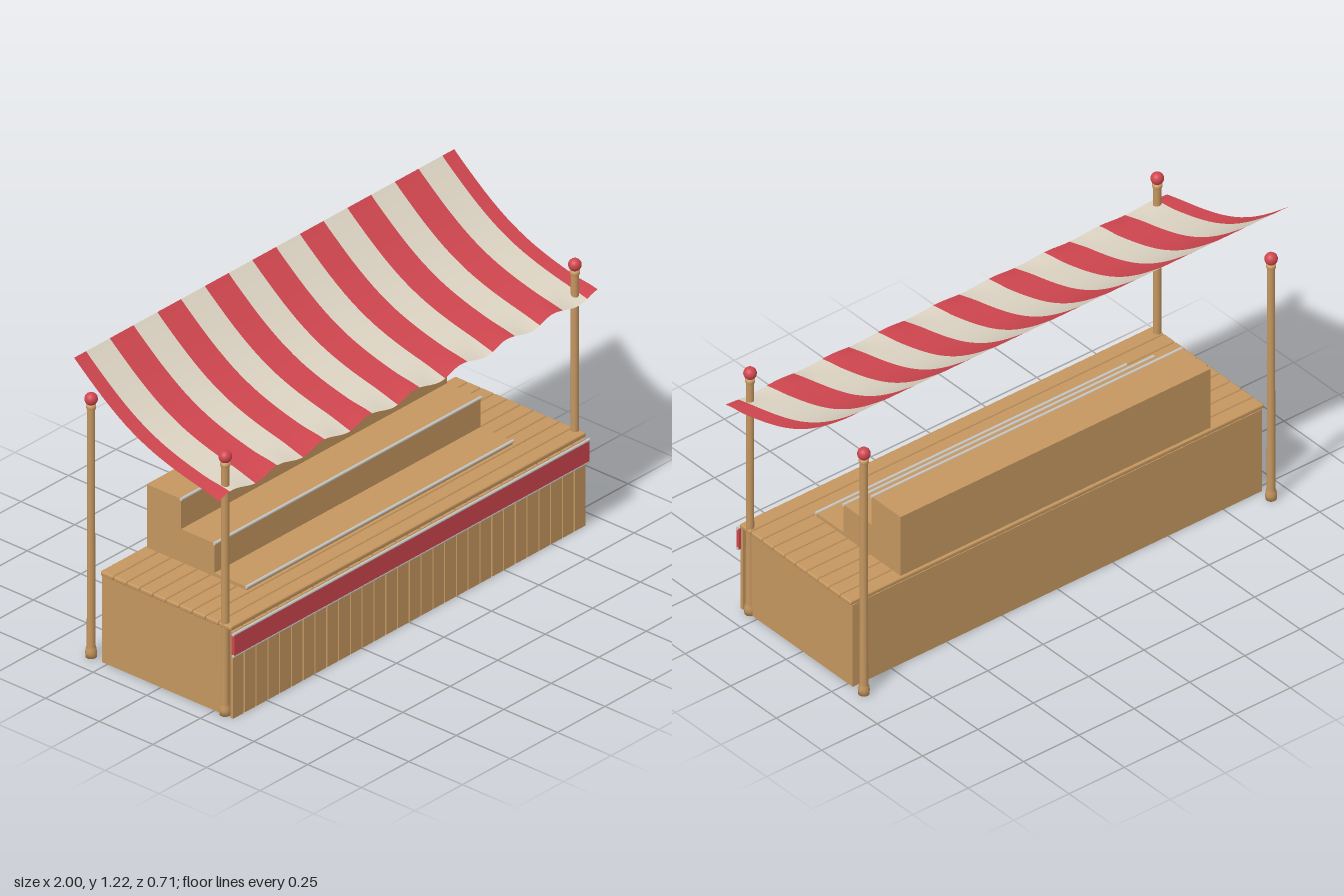
import * as THREE from 'three';
import { mergeGeometries } from 'three/addons/utils/BufferGeometryUtils.js';
import { RoundedBoxGeometry } from 'three/addons/geometries/RoundedBoxGeometry.js';

function material(name, color, side = THREE.FrontSide) {
  const m = new THREE.MeshStandardMaterial({ color, side });
  m.name = name;
  return m;
}

export function createModel() {
  const wood = material('wood', 0xc4965f);
  const red = material('red', 0xd0464f);
  const redCloth = material('red cloth', 0xd0464f, THREE.DoubleSide);
  const creamCloth = material('cream cloth', 0xddd4c3, THREE.DoubleSide);
  const trim = material('pale trim', 0xc9c8c4);

  const model = new THREE.Group();
  model.name = 'marketStall';

  const add = (name, geometry, mat, parent = model) => {
    const mesh = new THREE.Mesh(geometry, mat);
    mesh.name = name;
    parent.add(mesh);
    return mesh;
  };
  // Box from its limits along each axis, optionally with softened edges
  const box = (x0, x1, y0, y1, z0, z1, r = 0) => {
    const size = [x1 - x0, y1 - y0, z1 - z0];
    const g = r ? new RoundedBoxGeometry(...size, 2, r) : new THREE.BoxGeometry(...size);
    return g.translate((x0 + x1) / 2, (y0 + y1) / 2, (z0 + z1) / 2);
  };
  // Round bar running along x
  const bar = (halfLength, y, z, r) =>
    new THREE.CylinderGeometry(r, r, halfLength * 2, 10).rotateZ(Math.PI / 2).translate(0, y, z);

  // Counter body
  add('counterBody', box(-0.925, 0.925, 0, 0.35, -0.275, 0.308), wood);

  // Vertical slats across the front
  const slats = new THREE.Group();
  slats.name = 'frontSlats';
  model.add(slats);
  const slatCount = 30, slatPitch = 1.86 / slatCount;
  for (let i = 0; i < slatCount; i++) {
    const x = -0.93 + i * slatPitch;
    add('slat', box(x + 0.003, x + slatPitch - 0.003, 0, 0.345, 0.326, 0.338), wood, slats);
  }

  // Counter top planks running lengthwise
  const top = new THREE.Group();
  top.name = 'counterTop';
  model.add(top);
  const plankCount = 10, plankPitch = 0.612 / plankCount;
  for (let i = 0; i < plankCount; i++) {
    const z = -0.276 + i * plankPitch;
    add('plank', box(-0.935, 0.935, 0.35, 0.368, z + 0.001, z + plankPitch - 0.001, 0.006), wood, top);
  }

  // Red band below the counter edge with pale piping
  add('frontBand', box(-0.935, 0.935, 0.255, 0.342, 0.337, 0.351), red);
  for (const y of [0.256, 0.342]) add('bandPiping', bar(0.937, y, 0.346, 0.006), trim);

  // Stepped display with pale nosing on every step
  const steps = [[0.382, 0.2], [0.5, 0.05], [0.62, -0.105]];
  steps.forEach(([height, front]) => {
    add('displayStep', box(-0.7, 0.7, 0.36, height, -0.265, front), wood);
    add('stepNosing', bar(0.702, height - 0.001, front, 0.006), trim);
  });

  // Four turned posts with ball finials
  const postProfile = [
    [0, 0], [0.02, 0], [0.021, 0.02], [0.019, 0.034], [0.0155, 0.045],
    [0.0145, 0.5], [0.0145, 0.985], [0.018, 0.995], [0.018, 1.007], [0, 1.01],
  ].map(([x, y]) => new THREE.Vector2(x, y));
  const postGeometry = new THREE.LatheGeometry(postProfile, 20);
  const ballGeometry = new THREE.SphereGeometry(0.024, 20, 14);
  for (const x of [-0.92, 0.92]) {
    for (const z of [0.295, -0.33]) {
      const post = new THREE.Group();
      post.name = z > 0 ? 'frontPost' : 'backPost';
      post.position.set(x, 0, z);
      model.add(post);
      add('shaft', postGeometry, wood, post);
      add('finial', ballGeometry, red, post).position.y = 1.029;
    }
  }

  // Sagging canopy: side profile as a curve, with a rippled front hem
  const profile = new THREE.SplineCurve([
    [-0.338, 1.223], [-0.3, 1.19], [-0.2, 1.11], [-0.1, 1.043], [0, 0.993],
    [0.1, 0.958], [0.2, 0.932], [0.28, 0.915], [0.336, 0.902],
  ].map(([z, y]) => new THREE.Vector2(z, y)));
  const stripe = (x0, x1) => {
    const g = new THREE.PlaneGeometry(x1 - x0, 1, 8, 24)
      .rotateX(-Math.PI / 2).translate((x0 + x1) / 2, 0, 0.5);
    const p = g.attributes.position;
    for (let i = 0; i < p.count; i++) {
      const t = THREE.MathUtils.clamp(p.getZ(i), 0, 1);
      const c = profile.getPoint(t);
      const hem = THREE.MathUtils.smoothstep(c.x, 0.22, 0.336);
      const wave = Math.cos((p.getX(i) - 0.04) * 26) * hem;
      p.setY(i, c.y + wave * 0.008);
      p.setZ(i, c.x - wave * 0.005);
    }
    g.computeVertexNormals();
    return g;
  };
  const redStripes = [], creamStripes = [];
  for (let i = 0; i <= 16; i++) {
    const centre = -1 + i * 0.125;
    const g = stripe(Math.max(-1, centre - 0.0625), Math.min(1, centre + 0.0625));
    (i % 2 ? creamStripes : redStripes).push(g);
  }
  add('canopyRedStripes', mergeGeometries(redStripes), redCloth);
  add('canopyCreamStripes', mergeGeometries(creamStripes), creamCloth);

  return model;
}
